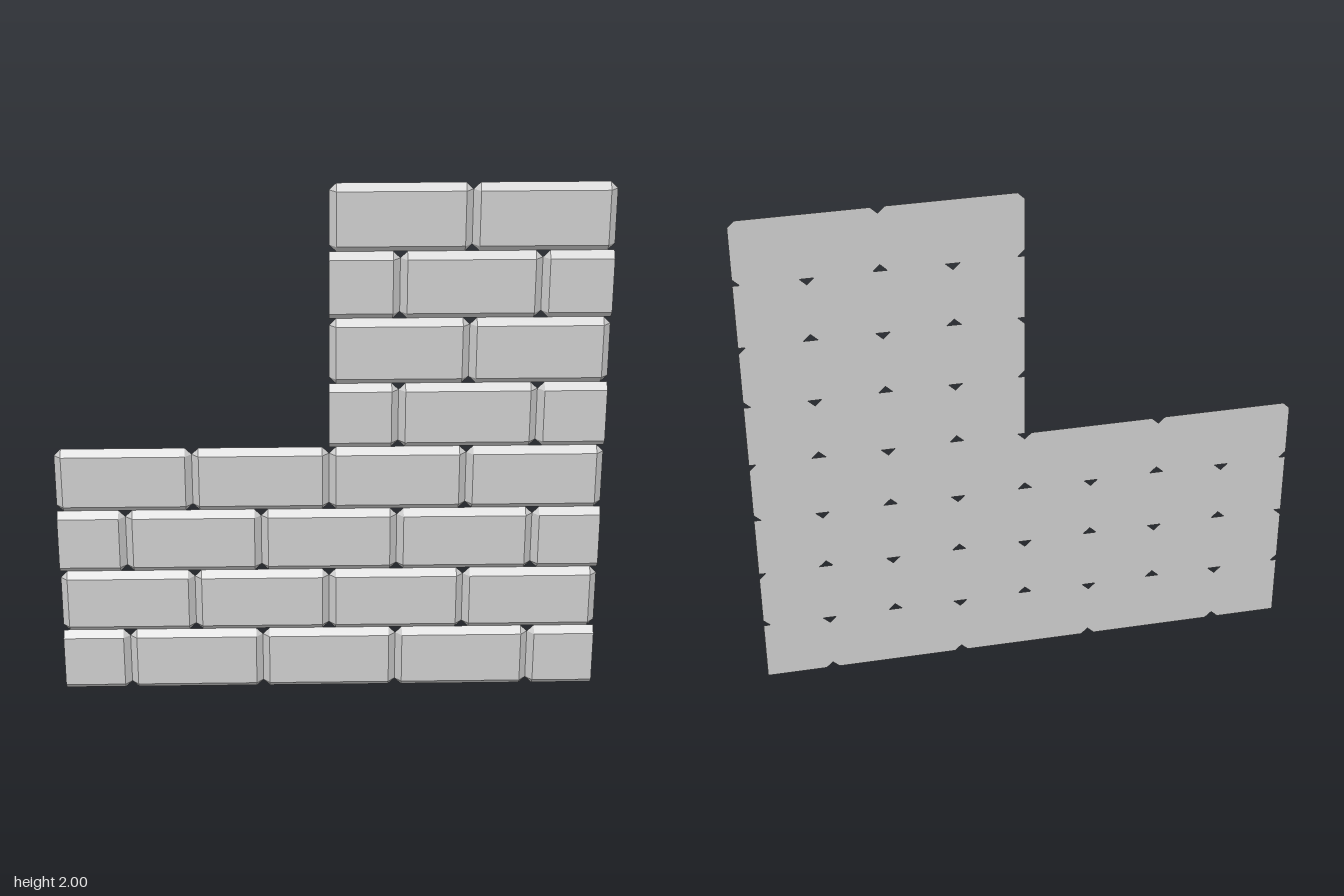
import * as THREE from 'three';
import { ConvexGeometry } from 'three/addons/geometries/ConvexGeometry.js';

const LENGTH = 0.5;   // full brick
const HEIGHT = 0.25;  // one course
const BEVEL = 0.025;  // equal to the wall thickness
const Z = BEVEL / 2;

// A brick bevelled all round toward its front; an end may be cut flat instead.
function brickGeometry(width, cutLeft, cutRight) {
  const points = [];
  for (const sx of [-1, 1]) {
    const inset = (sx < 0 ? cutLeft : cutRight) ? 0 : BEVEL;
    for (const sy of [-1, 1]) {
      const x = sx * width / 2, y = sy * HEIGHT / 2;
      points.push(new THREE.Vector3(x - sx * inset, y - sy * BEVEL, Z)); // front corner
      points.push(new THREE.Vector3(x - sx * inset, y, -Z));             // back corner, clipped
      if (inset) points.push(new THREE.Vector3(x, y - sy * inset, -Z));
    }
  }
  return new ConvexGeometry(points);
}

export function createModel() {
  const wall = new THREE.Group();
  wall.name = 'brickWall';
  const material = new THREE.MeshStandardMaterial({ color: 0xcccccc, flatShading: true });
  const fullBrick = brickGeometry(LENGTH, false, false);
  const leftHalf = brickGeometry(LENGTH / 2, true, false);
  const rightHalf = brickGeometry(LENGTH / 2, false, true);

  // Running bond: even courses start and end with a half brick
  for (let row = 0; row < 8; row++) {
    const course = new THREE.Group();
    course.name = `course${row + 1}`;
    course.position.y = (row + 0.5) * HEIGHT;
    const add = (name, geometry, x) => {
      const mesh = new THREE.Mesh(geometry, material);
      mesh.name = name;
      mesh.position.x = x;
      course.add(mesh);
    };

    // The upper four courses cover only the left half of the wall
    const start = row < 4 ? -1 : 0;
    const staggered = row % 2 === 0;
    const first = start + (staggered ? LENGTH : LENGTH / 2);
    if (staggered) add('halfBrick', leftHalf, start + LENGTH / 4);
    for (let x = first; x + LENGTH / 2 <= 1.001; x += LENGTH) add('brick', fullBrick, x);
    if (staggered) add('halfBrick', rightHalf, 1 - LENGTH / 4);
    wall.add(course);
  }
  return wall;
}
